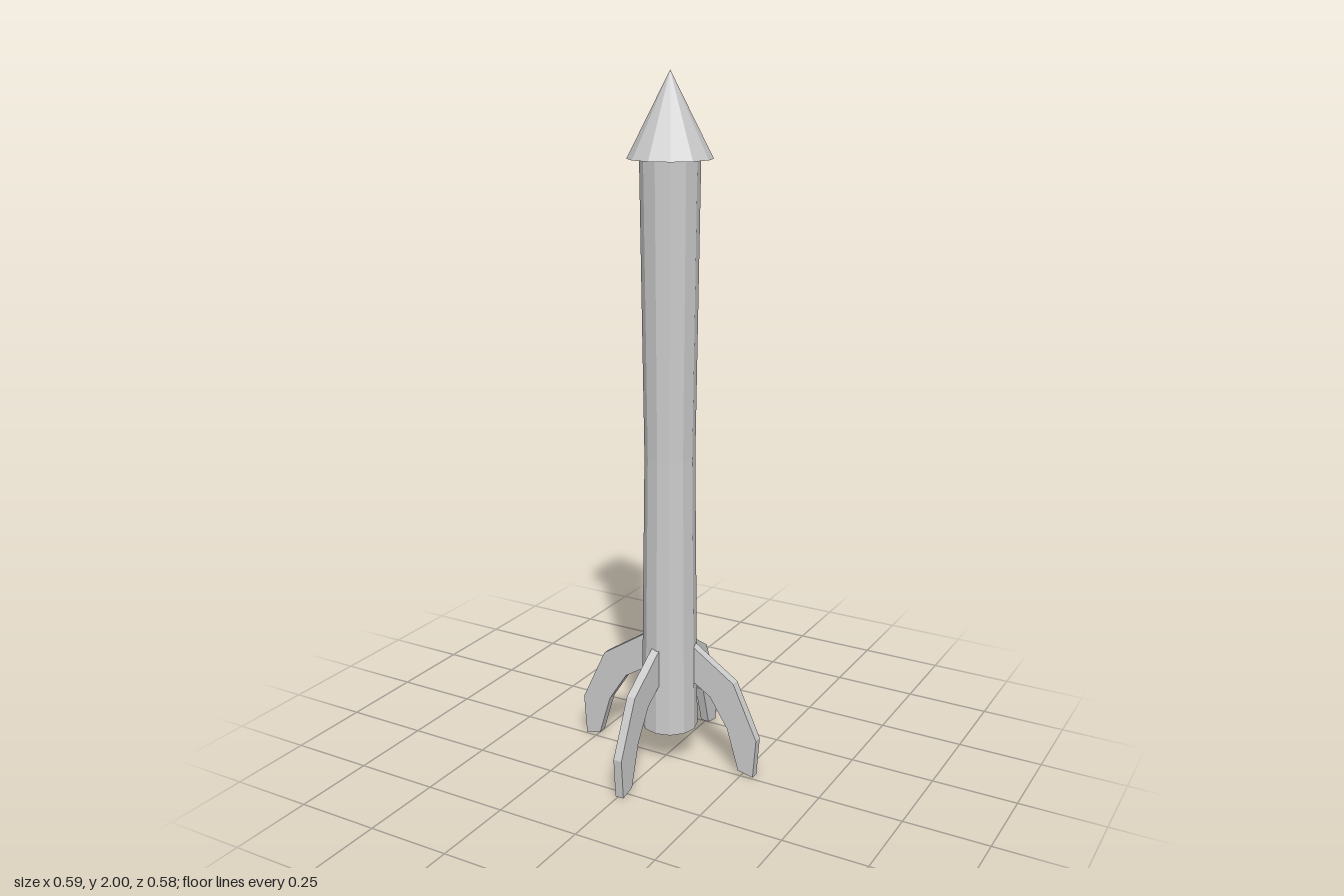
import * as THREE from 'three';

const AXIS_X = 0.01, AXIS_Z = -0.004, SIDES = 12;

export function createModel() {
  const rocket = new THREE.Group();
  rocket.name = 'rocket';
  const material = new THREE.MeshStandardMaterial({ color: 0xcccccc, flatShading: true });

  const add = (name, geometry, x, y, z) => {
    const mesh = new THREE.Mesh(geometry, material);
    mesh.name = name;
    mesh.position.set(x, y, z);
    rocket.add(mesh);
    return mesh;
  };

  // Faceted tube, slightly waisted in the middle and closed at both ends
  const profile = [[0, 0.11], [0.083, 0.11], [0.072, 0.94], [0.083, 1.77], [0, 1.77]];
  add('body', new THREE.LatheGeometry(profile.map(p => new THREE.Vector2(...p)), SIDES), AXIS_X, 0, AXIS_Z);

  // Overhanging nose cone
  add('noseCone', new THREE.ConeGeometry(0.117, 0.23, SIDES), AXIS_X, 1.885, AXIS_Z);

  // Bent landing fin, its root buried in the body
  const outline = [
    [0.045, 0.397], [0.218, 0.283], [0.294, 0.12], [0.285, 0], [0.237, 0.011],
    [0.2, 0.135], [0.142, 0.225], [0.045, 0.285],
  ];
  const thickness = 0.026;
  const finGeometry = new THREE.ExtrudeGeometry(
    new THREE.Shape(outline.map(p => new THREE.Vector2(...p))),
    { depth: thickness, bevelEnabled: false });
  finGeometry.translate(0, 0, -thickness / 2);

  // Four fins: name, quarter turns, x and z of the pivot
  const fins = [
    ['leftFin', 0, 0.001, -0.02],
    ['backFin', 1, 0.008, 0.004],
    ['rightFin', 2, -0.002, -0.02],
    ['frontFin', 3, 0.005, -0.007],
  ];
  for (const [name, turns, x, z] of fins) {
    add(name, finGeometry, x, 0, z).rotation.y = turns * Math.PI / 2;
  }
  return rocket;
}
